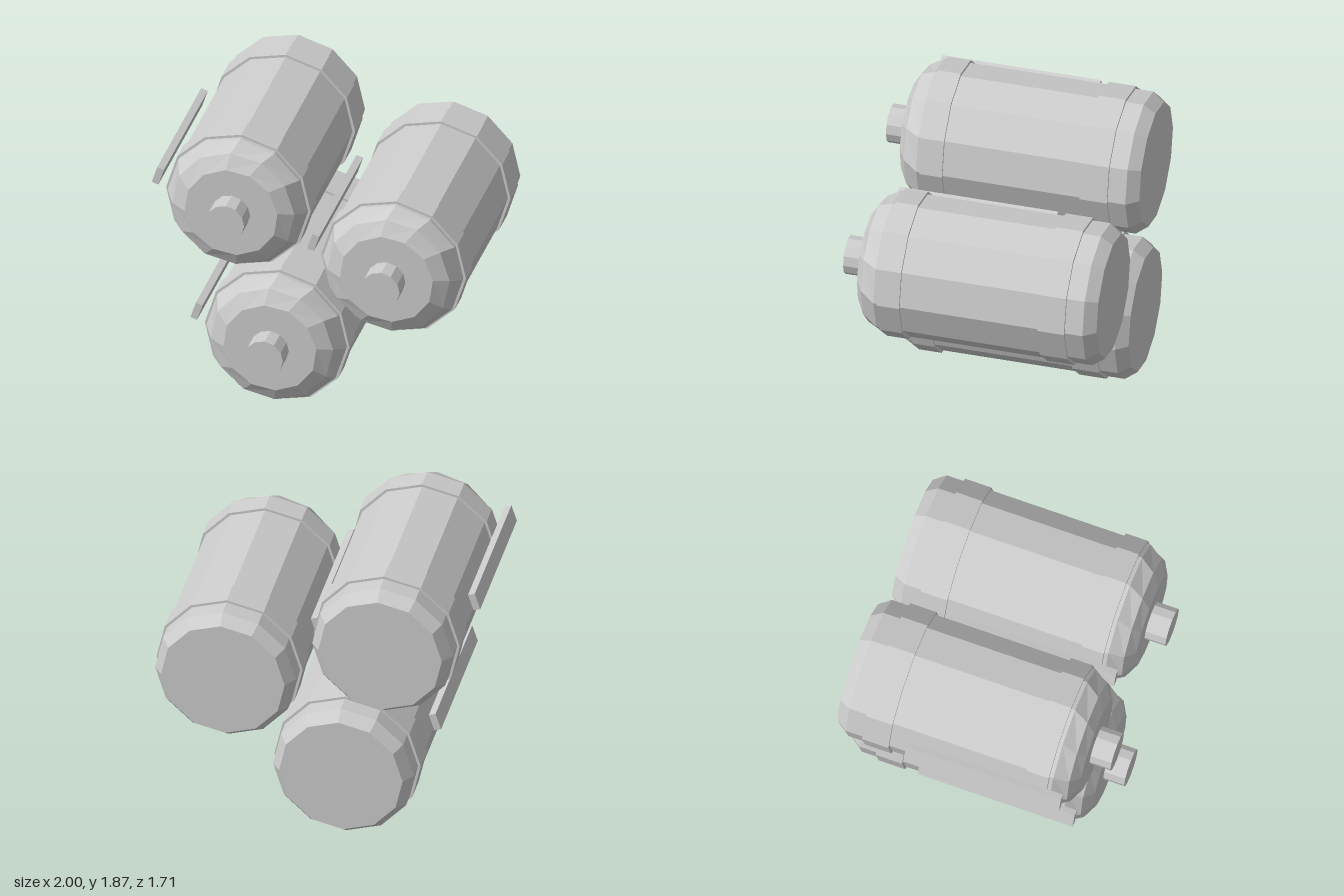
import * as THREE from 'three';

const SIDES = 12;
const rad = THREE.MathUtils.degToRad;

// Faceted solid of rings [z, radius, turn in degrees], listed from back to front
function loft(rings, capped) {
  const point = ([z, r, turn], k) => {
    const a = rad(turn) + (k / SIDES) * Math.PI * 2;
    return [r * Math.cos(a), r * Math.sin(a), z];
  };
  const pos = [];
  const first = rings[0], last = rings[rings.length - 1];
  for (let k = 0; k < SIDES; k++) {
    for (let i = 0; i < rings.length - 1; i++) {
      const a = point(rings[i], k), b = point(rings[i], k + 1);
      const c = point(rings[i + 1], k + 1), d = point(rings[i + 1], k);
      pos.push(...a, ...b, ...c, ...a, ...c, ...d);
    }
    if (capped) {
      pos.push(0, 0, first[0], ...point(first, k + 1), ...point(first, k));
      pos.push(0, 0, last[0], ...point(last, k), ...point(last, k + 1));
    }
  }
  const geo = new THREE.BufferGeometry();
  geo.setAttribute('position', new THREE.Float32BufferAttribute(pos, 3));
  geo.computeVertexNormals();
  return geo;
}

export function createModel() {
  const grey = new THREE.MeshStandardMaterial({ color: 0xcccccc, flatShading: true });
  grey.name = 'light grey';

  const TURN = -2.3;
  // Shell with a chamfered back and a domed front
  const shellGeo = loft([
    [-0.855, 0.395, TURN],
    [-0.78, 0.45, TURN],
    [0.57, 0.45, TURN],
    [0.665, 0.395, TURN + 5],
    [0.717, 0.302, TURN + 9],
  ], true);
  const band = (z0, z1) => loft([
    [z0, 0.44, TURN], [z0, 0.467, TURN], [z1, 0.467, TURN], [z1, 0.44, TURN],
  ], false);
  const frontBandGeo = band(0.4, 0.545);
  const backBandGeo = band(-0.665, -0.49);
  const valveGeo = loft([[0.7, 0.123, TURN], [0.855, 0.123, TURN]], true);
  const railGeo = new THREE.BoxGeometry(0.045, 0.115, 1.025);

  function createTank(name, x, y) {
    const tank = new THREE.Group();
    tank.name = name;
    const add = (part, geo) => {
      const mesh = new THREE.Mesh(geo, grey);
      mesh.name = part;
      tank.add(mesh);
      return mesh;
    };
    add('shell', shellGeo);
    add('frontBand', frontBandGeo);
    add('backBand', backBandGeo);
    add('valve', valveGeo);
    // Rail floating beside the tank, square to its radius
    const rail = add('sideRail', railGeo);
    rail.position.set(-0.489, 0.157, 0.148);
    rail.rotation.z = rad(-18);
    tank.position.set(x, y, 0);
    return tank;
  }

  const model = new THREE.Group();
  model.name = 'tankCluster';
  model.add(
    createTank('upperTank', -0.47, 1.403),
    createTank('sideTank', 0.533, 1.078),
    createTank('lowerTank', -0.22, 0.47),
  );
  return model;
}
